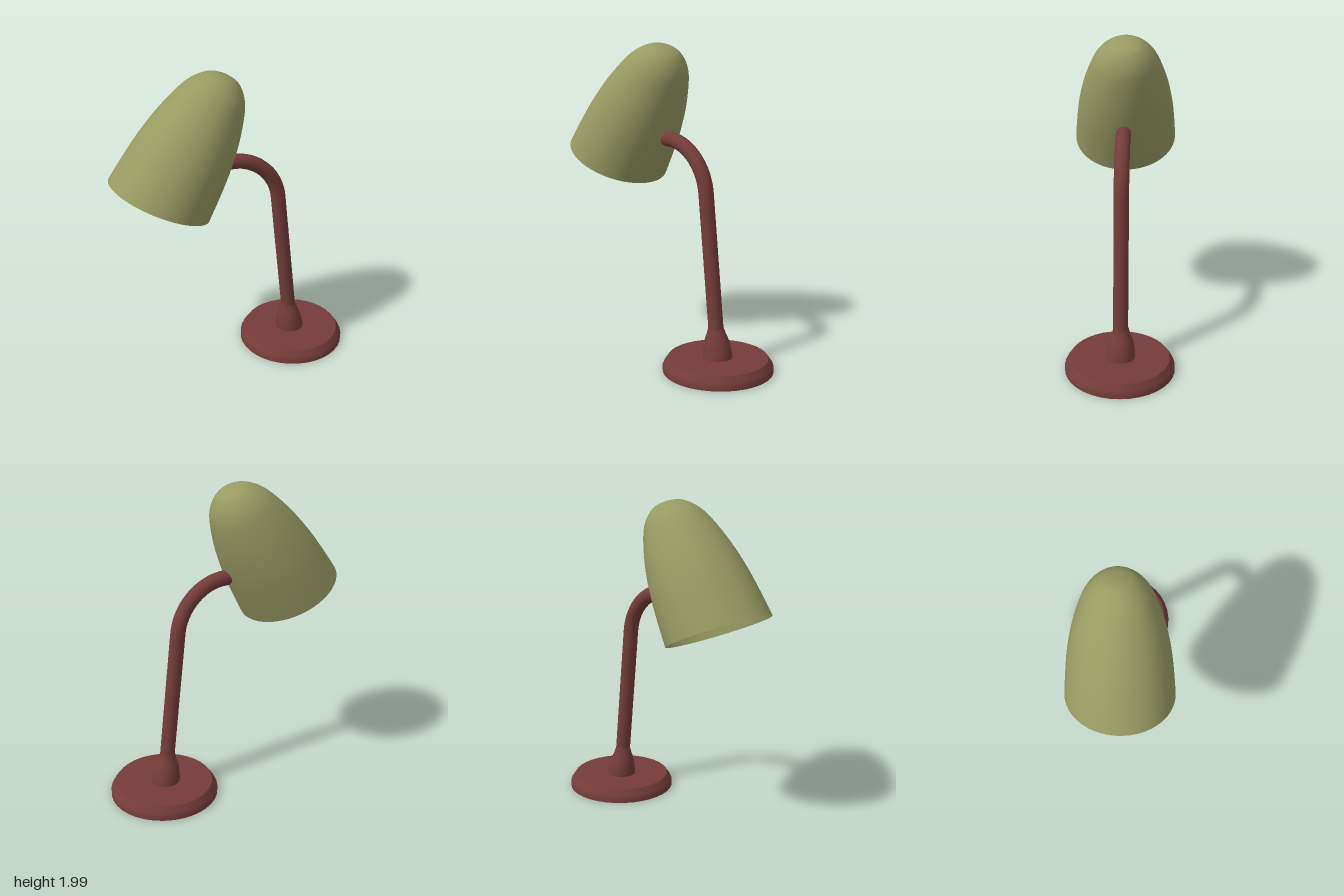
import * as THREE from 'three';
import { toCreasedNormals } from 'three/addons/utils/BufferGeometryUtils.js';

const v3 = (x, y, z) => new THREE.Vector3(x, y, z);
const v2 = ([x, y]) => new THREE.Vector2(x, y);

export function createModel() {
  const lamp = new THREE.Group();
  lamp.name = 'deskLamp';
  const red = new THREE.MeshStandardMaterial({ color: 0x743c3a });
  const olive = new THREE.MeshStandardMaterial({ color: 0x989a62, side: THREE.DoubleSide });

  const add = (name, geometry, material, position = v3(0, 0, 0)) => {
    const mesh = new THREE.Mesh(geometry, material);
    mesh.name = name;
    mesh.position.copy(position);
    lamp.add(mesh);
    return mesh;
  };

  // Round foot with a bevelled upper edge
  const foot = [[0, 0], [0.345, 0], [0.345, 0.03], [0.338, 0.045], [0.312, 0.083], [0, 0.083]].map(v2);
  add('base', toCreasedNormals(new THREE.LatheGeometry(foot, 36), 0.6), red, v3(0.09, 0, -0.425));

  // Collar that narrows into the stem
  const collar = new THREE.SplineCurve(
    [[0.091, 0.07], [0.09, 0.11], [0.078, 0.18], [0.058, 0.235], [0.045, 0.28]].map(v2));
  const collarGeometry = new THREE.LatheGeometry(collar.getPoints(12), 32);
  // Lean the collar along with the stem
  collarGeometry.applyMatrix4(new THREE.Matrix4().set(
    1, -0.03, 0, 0,
    0, 1, 0, 0,
    0, 0.1, 1, 0,
    0, 0, 0, 1));
  add('collar', collarGeometry, red, v3(0.086, 0, -0.427));

  // Straight leaning stem, then a bend towards the shade
  const tip = v3(-0.014, 1.4, 0.02);
  const path = new THREE.CurvePath();
  const bendStart = v3(0.06, 1.1, -0.31);
  path.add(new THREE.LineCurve3(v3(0.085, 0.1, -0.42), bendStart));
  path.add(new THREE.CubicBezierCurve3(bendStart, v3(0.055, 1.28, -0.29), v3(0.022, 1.41, -0.135), tip));
  add('stem', new THREE.TubeGeometry(path, 80, 0.047, 20), red);
  add('stemTip', new THREE.SphereGeometry(0.047, 20, 14), red, tip);

  // Open bell shade: profile is radius against fraction of the slanted axis
  const profile = new THREE.SplineCurve([
    [0.33, 0], [0.317, 0.2], [0.298, 0.4], [0.263, 0.61], [0.21, 0.81],
    [0.165, 0.91], [0.105, 0.98], [0.05, 1.005], [0.0001, 1.01]].map(v2));
  const shadeGeometry = new THREE.LatheGeometry(profile.getPoints(48), 48);
  // The axis leans back a little more than the rim's normal
  const axis = v3(0.08, 0.72, -0.43);
  const normal = v3(0.095, 0.906, -0.412).normalize();
  const side = v3(1, 0, 0).addScaledVector(normal, -normal.x).normalize();
  const forward = side.clone().cross(normal);
  shadeGeometry.applyMatrix4(new THREE.Matrix4().makeBasis(side, axis, forward));
  add('shade', shadeGeometry, olive, v3(-0.11, 1.24, 0.47));

  return lamp;
}
